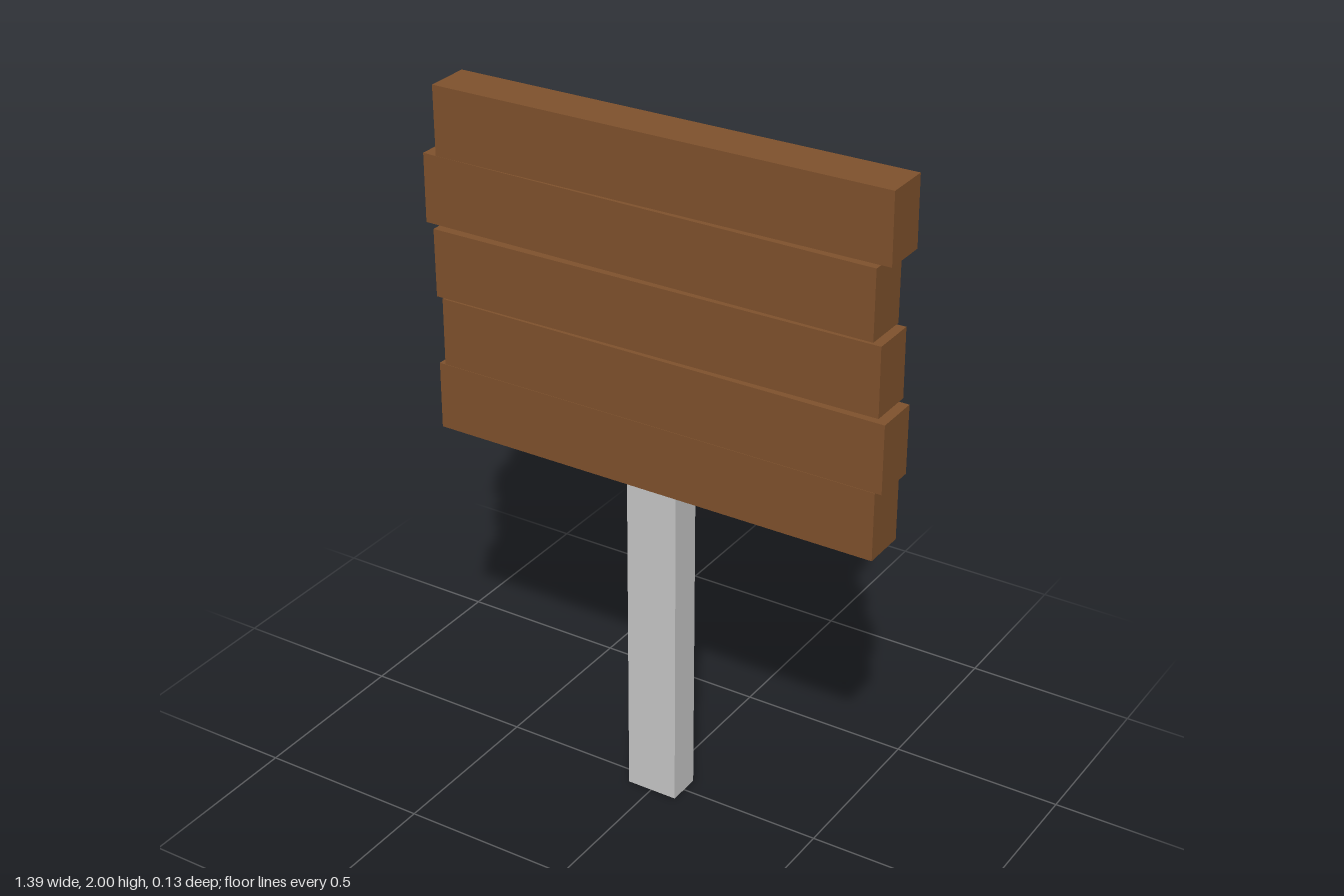
import * as THREE from 'three';

export function createModel() {
  const model = new THREE.Group();
  model.name = 'woodenSign';

  const wood = new THREE.MeshStandardMaterial({ color: 0x80522d });
  wood.name = 'brown wood';
  const metal = new THREE.MeshStandardMaterial({ color: 0xc9c9c9 });
  metal.name = 'light grey post';

  function addBox(name, size, position, material, tilt = 0) {
    const mesh = new THREE.Mesh(new THREE.BoxGeometry(...size), material);
    mesh.name = name;
    mesh.position.set(...position);
    mesh.rotation.z = tilt;
    model.add(mesh);
  }

  // Post, ending just inside the lowest plank
  addBox('post', [0.153, 1.05, 0.1], [0.002, 0.525, 0], metal);

  // Planks from bottom to top: centre x, centre y, tilt
  const planks = [
    [0, 1.083, 0],
    [0.019, 1.281, 0],
    [0, 1.486, 0.0075],
    [-0.023, 1.693, 0],
    [0.017, 1.896, 0.0088],
  ];
  planks.forEach(([x, y, tilt], i) => {
    addBox(`plank${i + 1}`, [1.344, 0.197, 0.13], [x, y, 0], wood, tilt);
  });

  return model;
}
